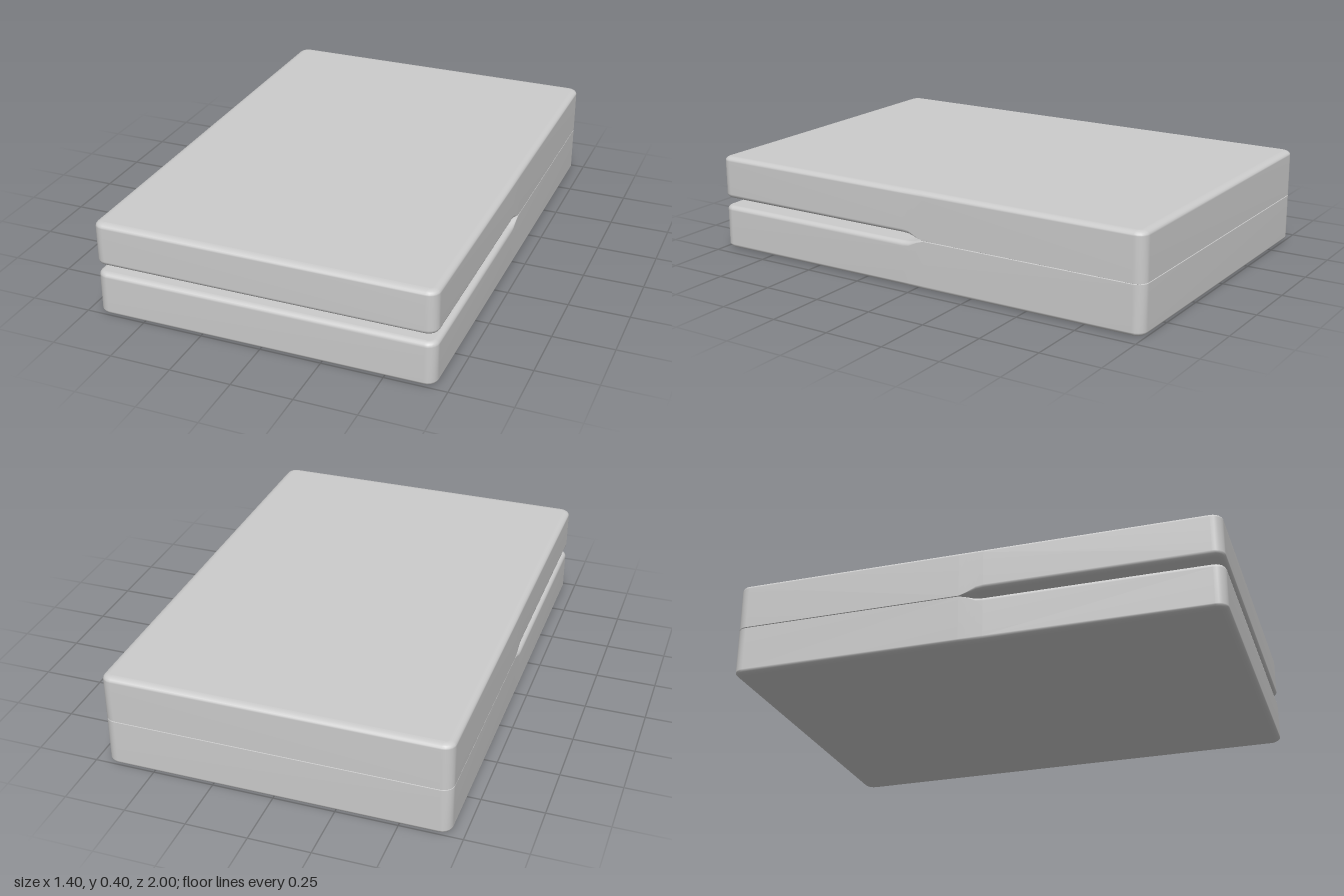
import * as THREE from 'three';

const HALF_W = 0.7, HALF_L = 1, CORNER = 0.045;
const HEIGHT = 0.4, SEAM = 0.203, STEPS = 5;

// Half-height of the slot along the length: open in front, closed at the back.
const SLOT = [[1, 0.017], [0.06, 0.017], [0.03, 0.015], [0.01, 0.01], [-0.01, 0.005], [-0.04, 0], [-1, 0]];
function slotGap(z) {
  for (let i = 1; i < SLOT.length; i++) {
    const [z0, g0] = SLOT[i - 1], [z1, g1] = SLOT[i];
    if (z >= z1) return g0 + (g1 - g0) * (z0 - z) / (z0 - z1);
  }
  return 0;
}

// Rows [half width, z] of the rounded outline, front to back, shrunk by an inset.
function outlineRows(inset) {
  const r = CORNER - inset, cx = HALF_W - CORNER, cz = HALF_L - CORNER;
  const arc = [];
  for (let i = 0; i <= STEPS; i++) {
    const a = (i / STEPS) * Math.PI / 2;
    arc.push([cx + r * Math.sin(a), cz + r * Math.cos(a)]);
  }
  const sides = SLOT.slice(1, -1).map(([z]) => [HALF_W - inset, z]);
  const back = arc.map(([x, z]) => [x, -z]).reverse();
  return [...arc, ...sides, ...back];
}

// One slab, from its rounded outer face to its stepped inner face.
function slabGeometry(thickness, upper) {
  const pos = [], index = [];
  let ringSize = 0, rings = 0;
  const addRing = (inset, heightAt) => {
    const rows = outlineRows(inset);
    const ring = [...rows, ...rows.map(([x, z]) => [-x, z]).reverse()];
    for (const [x, z] of ring) {
      const y = heightAt(z);
      pos.push(x, upper ? HEIGHT - y : y, z);
    }
    ringSize = ring.length;
    rings++;
  };
  const quad = (a, b, c, d) => (upper
    ? index.push(a, c, b, a, d, c)
    : index.push(a, b, c, a, c, d));

  // Outer rounded edge
  for (let i = 0; i <= STEPS; i++) {
    const a = (i / STEPS) * Math.PI / 2;
    addRing(0.03 * (1 - Math.sin(a)), () => 0.018 * (1 - Math.cos(a)));
  }
  // Inner rounded edge, which fades out where the slabs meet
  for (let i = 0; i <= STEPS; i++) {
    const a = (i / STEPS) * Math.PI / 2;
    addRing(0.022 * (1 - Math.cos(a)), (z) => {
      const gap = slotGap(z), bevel = 0.002 + gap;
      return thickness - gap - bevel * (1 - Math.sin(a));
    });
  }
  // Wall
  for (let i = 0; i < rings - 1; i++) {
    for (let j = 0; j < ringSize; j++) {
      const k = (j + 1) % ringSize, a = i * ringSize, b = a + ringSize;
      quad(a + j, a + k, b + k, b + j);
    }
  }
  // Outer and inner faces
  const last = (rings - 1) * ringSize;
  for (let j = 0; j < ringSize / 2 - 1; j++) {
    const l = ringSize - 1 - j;
    quad(j, l, l - 1, j + 1);
    quad(last + j, last + j + 1, last + l - 1, last + l);
  }

  const geometry = new THREE.BufferGeometry();
  geometry.setAttribute('position', new THREE.Float32BufferAttribute(pos, 3));
  geometry.setIndex(index);
  geometry.computeVertexNormals();
  return geometry;
}

export function createModel() {
  const model = new THREE.Group();
  model.name = 'slottedBlock';
  const material = new THREE.MeshStandardMaterial({ color: 0xcccccc });
  const addSlab = (name, thickness, upper) => {
    const mesh = new THREE.Mesh(slabGeometry(thickness, upper), material);
    mesh.name = name;
    model.add(mesh);
  };
  addSlab('lowerSlab', SEAM, false);
  addSlab('upperSlab', HEIGHT - SEAM, true);
  return model;
}
